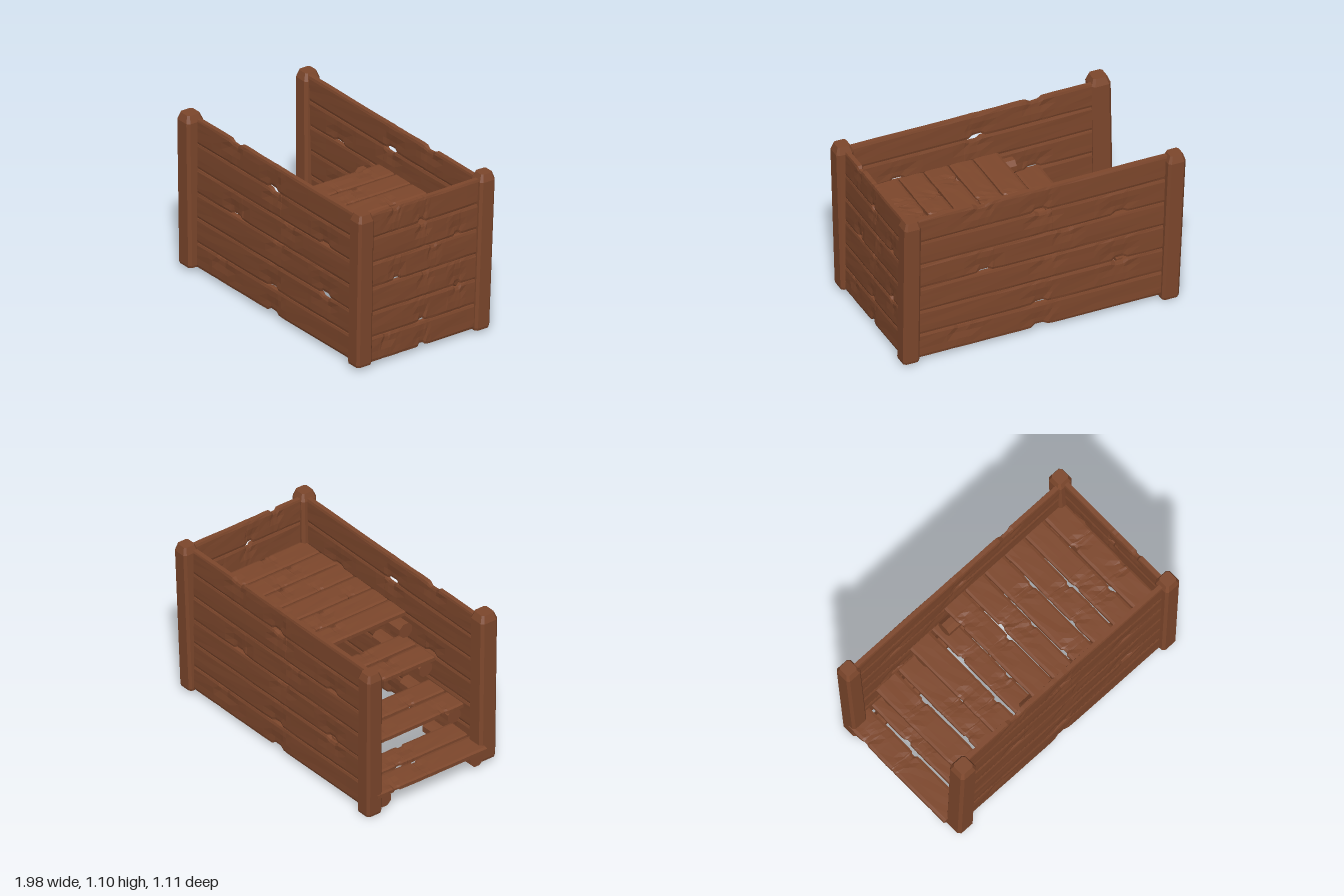
import * as THREE from 'three';

const wood = new THREE.MeshStandardMaterial({ color: 0x7d472c });
wood.name = 'brownWood';

// Small seeded value in -1..1 from a position, so shared corners move together
function noise(a, b, c, seed) {
  const s = Math.sin(a * 127.1 + b * 311.7 + c * 74.7 + seed * 19.3) * 43758.5453;
  return (s - Math.floor(s)) * 2 - 1;
}

function faceted(geometry) {
  const g = geometry.index ? geometry.toNonIndexed() : geometry;
  g.computeVertexNormals();
  return g;
}

function add(parent, geometry, name) {
  const mesh = new THREE.Mesh(faceted(geometry), wood);
  mesh.name = name;
  parent.add(mesh);
  return mesh;
}

// Worn board along x: notches are [u along the board (-1..1), edge (+1 top, -1 bottom), depth]
function boardGeometry(length, height, thick, notches, seed) {
  const cols = [-1, -0.72, -0.35, 0.1, 0.42, 0.78, 1];
  for (const [u] of notches) cols.push(u - 0.16, u - 0.065, u - 0.03, u + 0.03, u + 0.065, u + 0.16);
  cols.sort((a, b) => a - b);
  const rows = [-0.5, -0.4, -0.12, 0.16, 0.4, 0.5];
  const n = cols.length - 1;
  const g = new THREE.BoxGeometry(1, 1, 1, n, 5, 1);
  const p = g.attributes.position;
  for (let i = 0; i < p.count; i++) {
    const u = cols[Math.round((p.getX(i) + 0.5) * n)];
    const v = rows[Math.round((p.getY(i) + 0.5) * 5)];
    const side = Math.sign(p.getZ(i));
    const edge = Math.abs(v) === 0.5;
    let y = v * height + noise(u, v, 0, seed) * 0.002;
    let inset = edge ? 0.006 : Math.abs(noise(u, v, side, seed)) * 0.003;
    for (const [nu, e, depth] of notches) {
      const d = Math.abs(u - nu);
      if (v * e > 0.35 && d < 0.07) {
        const k = d < 0.04 ? 1 : 0.1;
        y -= e * depth * k;
        inset += 0.006 * k;
      } else if (v * e > 0.1 && d < 0.1) inset += 0.005;
    }
    p.setXYZ(i, u * length / 2, y, side * Math.max(thick / 2 - inset, 0.003));
  }
  return g;
}

// Chamfered post between two levels, leaning from its foot to its head
function post(parent, name, foot, head, half) {
  const levels = [0, 0.015, 0.955, 1], sizes = [0.94, 1, 1, 0.72];
  const g = new THREE.CylinderGeometry(1, 1, 1, 8, 3, false, Math.PI / 8);
  const p = g.attributes.position;
  const square = v => Math.abs(v) < 0.01 ? 0 : Math.sign(v) * (Math.abs(v) > 0.6 ? 1 : 0.72);
  for (let i = 0; i < p.count; i++) {
    const k = Math.round((p.getY(i) + 0.5) * 3);
    const t = levels[k], s = half * sizes[k];
    p.setXYZ(i,
      THREE.MathUtils.lerp(foot[0], head[0], t) + square(p.getX(i)) * s,
      THREE.MathUtils.lerp(foot[1], head[1], t),
      THREE.MathUtils.lerp(foot[2], head[2], t) + square(p.getZ(i)) * s);
  }
  add(parent, g, name);
}

// Six stacked boards; paired notches on neighbouring boards leave knot holes
function wall(name, length) {
  const group = new THREE.Group();
  group.name = name;
  const notches = [
    [[0, -1, 0.018], [-0.6, 1, 0.01]],
    [[0, -1, 0.018], [0.62, 1, 0.018]],
    [[0.62, -1, 0.018], [0.07, 1, 0.012]],
    [[-0.43, -1, 0.018], [0.2, 1, 0.012]],
    [[0.62, -1, 0.018], [0.03, 1, 0.016]],
    [[0, -1, 0.018], [-0.45, 1, 0.016]],
  ];
  notches.forEach((list, i) => {
    const mesh = add(group, boardGeometry(length, 0.169, 0.042, list, i + 1), 'wallBoard');
    mesh.position.y = 0.115 + i * 0.1735;
  });
  return group;
}

export function createModel() {
  const model = new THREE.Group();
  model.name = 'woodenCrate';

  // Three closed walls, the -x end stays open
  const front = wall('frontWall', 1.79);
  front.position.z = 0.46;
  const back = wall('backWall', 1.79);
  back.position.z = -0.47;
  back.rotation.y = Math.PI;
  const end = wall('endWall', 0.9);
  end.position.x = 0.913;
  end.rotation.y = Math.PI / 2;
  model.add(front, back, end);

  // Leaning corner posts
  post(model, 'frontRightPost', [-0.87, 0.03, 0.468], [-0.862, 1.1, 0.49], 0.066);
  post(model, 'frontLeftPost', [0.9, 0.03, 0.46], [0.93, 1.1, 0.464], 0.06);
  post(model, 'backRightPost', [-0.9, 0, -0.46], [-0.938, 1.08, -0.485], 0.06);
  post(model, 'backLeftPost', [0.9, 0.02, -0.462], [0.908, 1.1, -0.502], 0.058);

  // Floor and step boards: [x from, x to, top height]
  const boards = [
    [-0.97, -0.79, 0.15], [-0.77, -0.6, 0.15],
    [-0.73, -0.555, 0.36], [-0.535, -0.37, 0.36],
    [-0.435, -0.265, 0.56], [-0.245, -0.1, 0.56],
    [-0.14, 0.03, 0.75], [0.04, 0.2, 0.75], [0.21, 0.375, 0.75],
    [0.385, 0.55, 0.75], [0.56, 0.72, 0.75], [0.73, 0.9, 0.75],
  ];
  const knots = [[0.05, -1], [0.25, 1], [-0.65, 1], [0.05, -1], [-0.4, -1], [0.4, 1]];
  const steps = new THREE.Group();
  steps.name = 'stepsAndDeck';
  model.add(steps);
  boards.forEach(([x0, x1, top], i) => {
    const list = [[knots[i % 6][0], knots[i % 6][1], 0.014], [-knots[(i + 2) % 6][0], -knots[i % 6][1], 0.009]];
    const g = boardGeometry(0.88, x1 - x0, 0.036, list, 20 + i);
    g.rotateX(-Math.PI / 2).rotateY(Math.PI / 2);
    const mesh = add(steps, g, top > 0.7 ? 'deckBoard' : 'stepBoard');
    mesh.position.set((x0 + x1) / 2, top - 0.018, -0.01);
  });

  // Bearer beams along both sides, one pair under each level
  const beams = [[-0.94, -0.45, 0.15], [-0.71, -0.22, 0.36], [-0.42, 0.06, 0.56], [-0.22, 0.9, 0.75]];
  for (const [x0, x1, top] of beams) {
    for (const z of [-0.37, 0.37]) {
      const g = new THREE.CylinderGeometry(0.054, 0.054, x1 - x0, 8, 1, false, Math.PI / 8);
      g.rotateZ(Math.PI / 2);
      add(steps, g, 'bearerBeam').position.set((x0 + x1) / 2, top - 0.08, z);
    }
  }
  return model;
}
